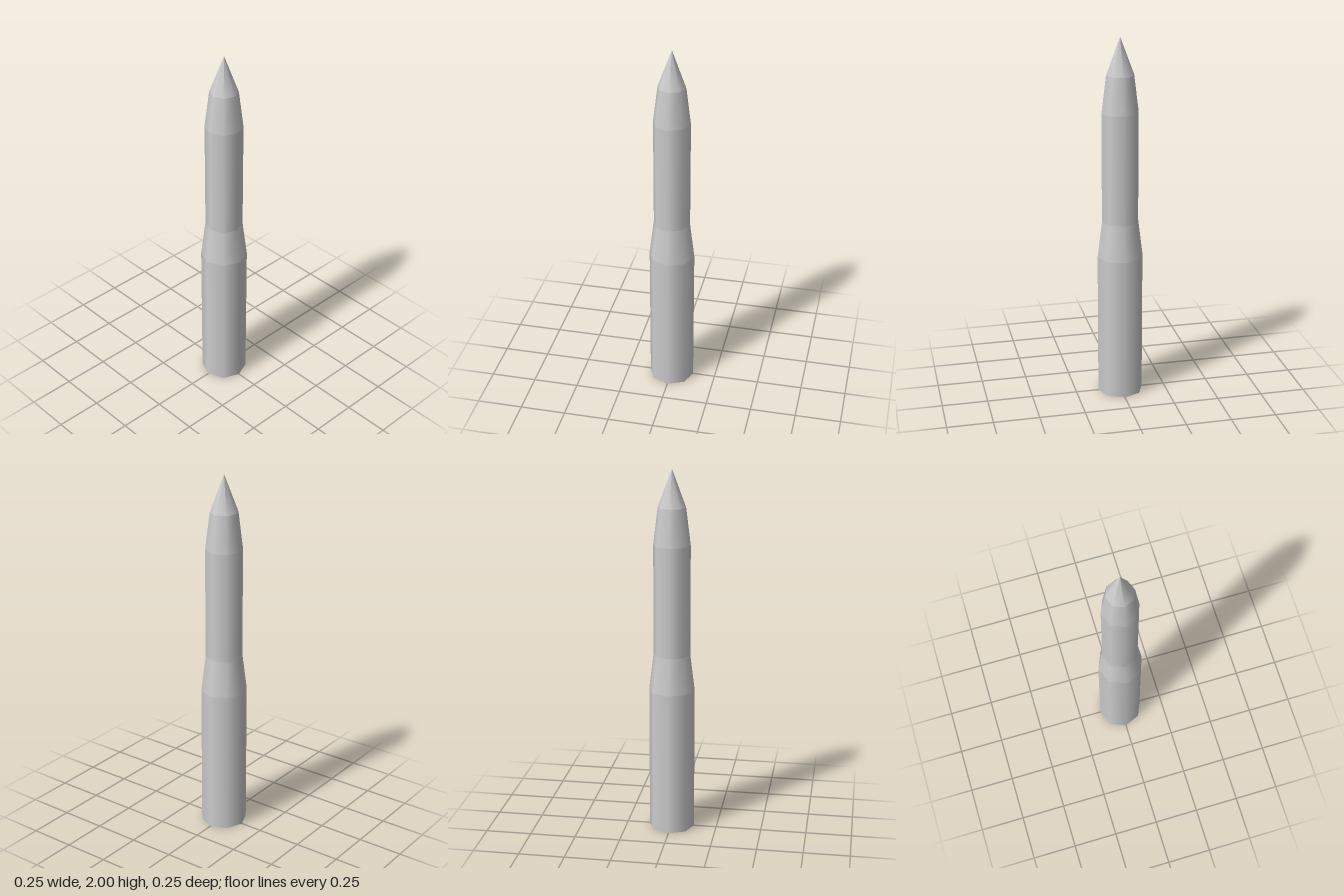
import * as THREE from 'three';

export function createModel() {
  const model = new THREE.Group();
  model.name = 'rocket';
  const hullGrey = new THREE.MeshStandardMaterial({ color: 0xcccccc, side: THREE.DoubleSide });
  hullGrey.name = 'hull grey';

  // Stacked eight-sided sections, open at the base: name, bottom y, top y, bottom radius, top radius
  const sections = [
    ['lowerStage', 0, 0.8, 0.125, 0.125],
    ['interstage', 0.8, 1, 0.125, 0.1],
    ['upperStage', 1, 1.6, 0.1, 0.1],
    ['shoulder', 1.6, 1.8, 0.1, 0.075],
    ['noseCone', 1.8, 2, 0.075, 0],
  ];
  for (const [name, y0, y1, r0, r1] of sections) {
    const section = new THREE.Mesh(new THREE.CylinderGeometry(r1, r0, y1 - y0, 8, 1, true), hullGrey);
    section.name = name;
    section.position.y = (y0 + y1) / 2;
    model.add(section);
  }
  return model;
}
